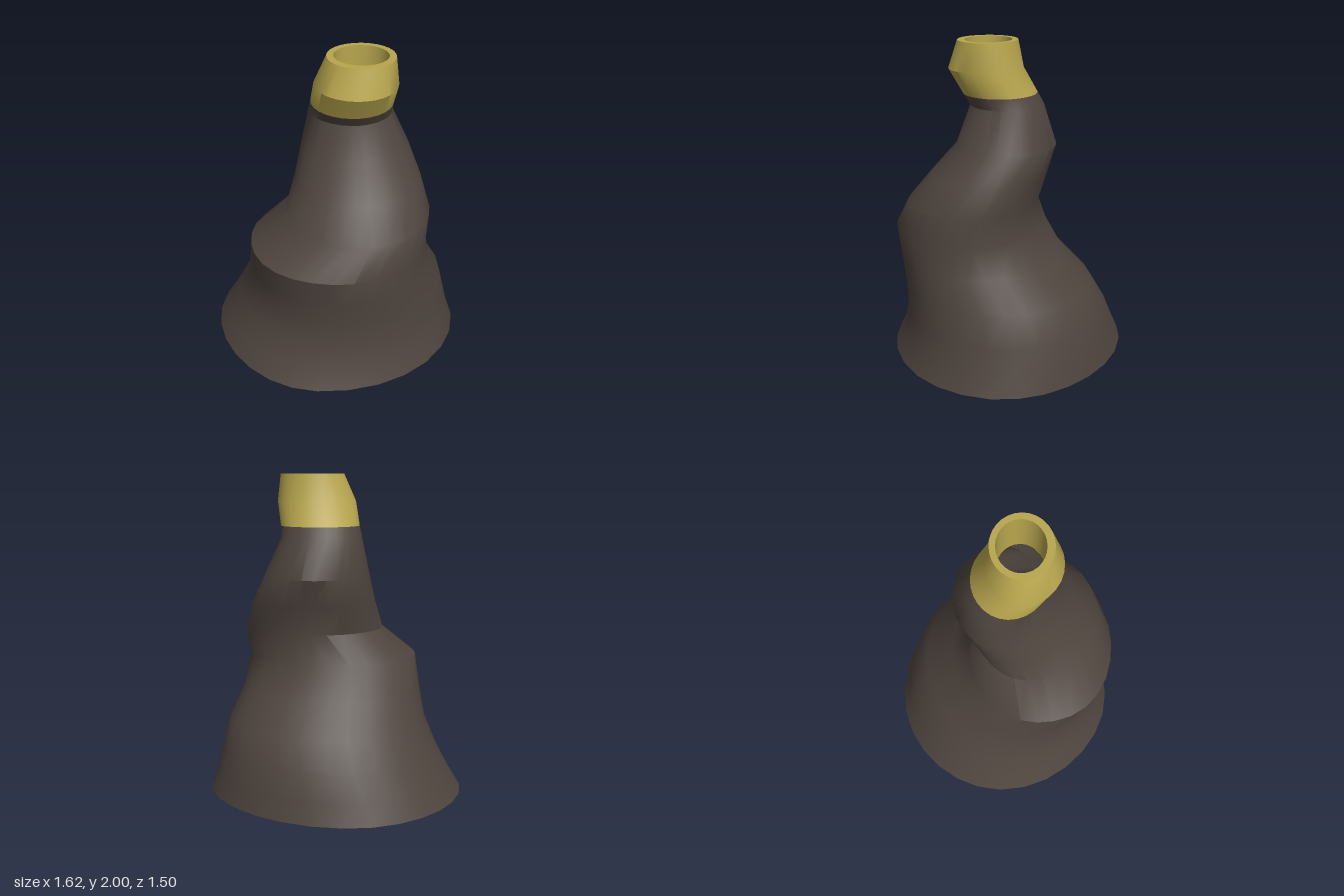
import * as THREE from 'three';
import { toCreasedNormals } from 'three/addons/utils/BufferGeometryUtils.js';

const SIDES = 28;

// Each ring: y, x extents, z extents, axis (cx, cz),
// and optional fullness of the quadrants [+x+z, -x+z, -x-z, +x-z].
const BODY = [
  { y: 0.00, x: [-0.81, 0.81], z: [-0.75, 0.75], c: [-0.08, -0.02], f: [1.0, 0.98, 0.99, 0.98] },
  { y: 0.13, x: [-0.73, 0.765], z: [-0.70, 0.68], c: [-0.04, -0.01] },
  { y: 0.28, x: [-0.65, 0.73], z: [-0.65, 0.64], c: [0.02, 0] },
  { y: 0.46, x: [-0.575, 0.69], z: [-0.55, 0.64], c: [0.05, 0.04] },
  { y: 0.64, x: [-0.545, 0.61], z: [-0.36, 0.67], c: [0.03, 0.15] },
  { y: 0.83, x: [-0.52, 0.575], z: [-0.25, 0.70], c: [0.02, 0.21], f: [1, 1.03, 1, 1] },
  { y: 1.02, x: [-0.30, 0.59], z: [-0.215, 0.59], c: [0.15, 0.14], f: [1.03, 1, 1, 0.97] },
  { y: 1.20, x: [-0.25, 0.53], z: [-0.27, 0.44], c: [0.13, 0.07] },
  { y: 1.37, x: [-0.215, 0.45], z: [-0.32, 0.29], c: [0.12, -0.01], f: [1, 1, 1, 1.02] },
  { y: 1.61, x: [-0.165, 0.34], z: [-0.24, 0.205], c: [0.10, -0.02] },
  { y: 1.68, x: [-0.15, 0.345], z: [-0.20, 0.25], c: [0.10, 0.02] },
];

// Outer wall, flat rim, then the inner wall going back down
const SPOUT = [
  BODY[BODY.length - 1],
  { y: 1.83, x: [-0.125, 0.37], z: [-0.12, 0.33], c: [0.13, 0.09] },
  { y: 2.00, x: [-0.05, 0.35], z: [-0.09, 0.27], c: [0.15, 0.09] },
  { y: 2.00, x: [-0.01, 0.31], z: [-0.055, 0.225], c: [0.15, 0.085] },
  { y: 1.70, x: [-0.01, 0.31], z: [-0.055, 0.225], c: [0.15, 0.085] },
];

// Joins uneven oval rings into one skin, keeping only the strong folds sharp
function loft(rings) {
  const positions = [];
  const index = [];
  rings.forEach(({ y, x, z, c, f = [1, 1, 1, 1] }, j) => {
    for (let i = 0; i < SIDES; i++) {
      const a = (i / SIDES) * Math.PI * 2;
      const quadrant = Math.floor((i * 4) / SIDES);
      const full = 1 + (f[quadrant] - 1) * Math.sin(2 * a) ** 2;
      const u = Math.cos(a) * full;
      const v = Math.sin(a) * full;
      positions.push(
        c[0] + u * Math.abs(x[u > 0 ? 1 : 0] - c[0]),
        y,
        c[1] + v * Math.abs(z[v > 0 ? 1 : 0] - c[1]),
      );
      if (j < rings.length - 1) {
        const p = j * SIDES + i;
        const q = j * SIDES + ((i + 1) % SIDES);
        index.push(p, p + SIDES, q, q, p + SIDES, q + SIDES);
      }
    }
  });
  const geometry = new THREE.BufferGeometry();
  geometry.setAttribute('position', new THREE.Float32BufferAttribute(positions, 3));
  geometry.setIndex(index);
  return toCreasedNormals(geometry, 0.6);
}

export function createModel() {
  const brown = new THREE.MeshStandardMaterial({ color: 0x4f453f, side: THREE.DoubleSide });
  brown.name = 'dark brown rock';
  const yellow = new THREE.MeshStandardMaterial({ color: 0xb8a64e, side: THREE.DoubleSide });
  yellow.name = 'mustard yellow';

  const group = new THREE.Group();
  group.name = 'vent';

  // Lumpy leaning stack, open underneath
  const body = new THREE.Mesh(loft(BODY), brown);
  body.name = 'rockBody';

  // Hollow mouth on top
  const spout = new THREE.Mesh(loft(SPOUT), yellow);
  spout.name = 'spout';

  group.add(body, spout);
  return group;
}
